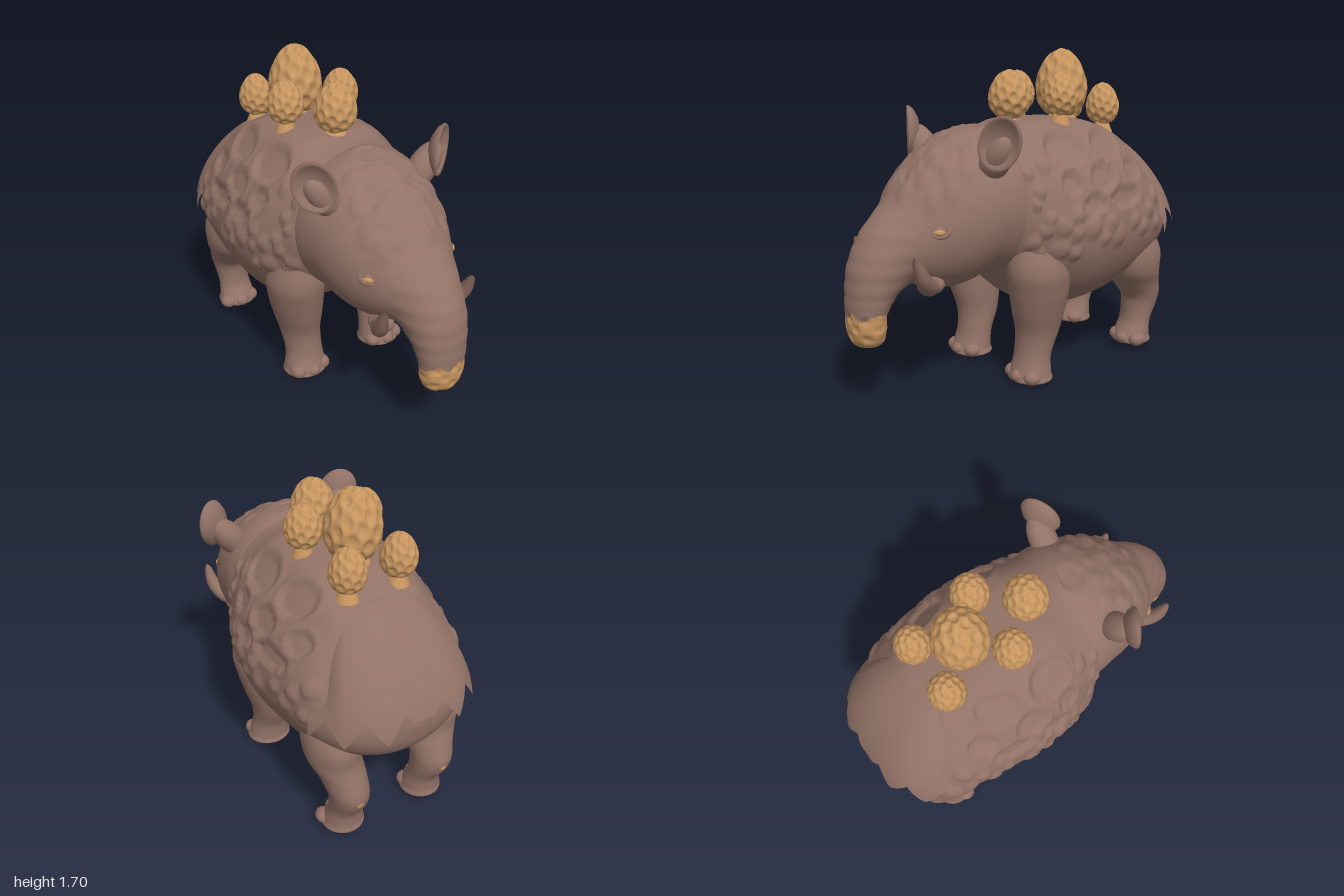
import * as THREE from 'three';
import { mergeVertices } from 'three/addons/utils/BufferGeometryUtils.js';

const hide = new THREE.MeshStandardMaterial({ color: 0x927266, side: THREE.DoubleSide });
hide.name = 'brown hide';
const amber = new THREE.MeshStandardMaterial({ color: 0xc8965f });
amber.name = 'amber';

const { smoothstep, clamp } = THREE.MathUtils;
const V = (x, y, z) => new THREE.Vector3(x, y, z);
const DOWN = Math.PI / 2;

let seed = 7;
const rand = () => (seed = (seed * 16807) % 2147483647) / 2147483647;

function add(parent, name, geometry, material, x = 0, y = 0, z = 0) {
  const mesh = new THREE.Mesh(geometry, material);
  mesh.name = name;
  mesh.position.set(x, y, z);
  parent.add(mesh);
  return mesh;
}

// Smooth skin through oval sections [x, y, z, half width, half depth, tilt].
// relief(p) pushes the skin outward; paint(p) picks the amber faces.
function loft(sections, rings, sides, relief = () => 0, paint = () => false) {
  const spline = k => new THREE.CatmullRomCurve3(sections.map(s => V(s[k], s[k + 1], s[k + 2])), false, 'catmullrom', 0.5);
  const path = spline(0), size = spline(3);
  const pos = [], brown = [], gold = [];
  for (let i = 0; i <= rings; i++) {
    const c = path.getPoint(i / rings), s = size.getPoint(i / rings);
    for (let j = 0; j < sides; j++) {
      const a = j / sides * Math.PI * 2, u = Math.cos(a), v = Math.sin(a);
      const rx = Math.max(s.x, 0.001), rv = Math.max(s.y, 0.001);
      const dir = V(u, v * Math.cos(s.z), v * Math.sin(s.z));
      const p = V(u * rx, v * rv * Math.cos(s.z), v * rv * Math.sin(s.z)).add(c);
      if (rx > 0.01) p.addScaledVector(dir, relief(p));
      pos.push(p.x, p.y, p.z);
    }
  }
  for (let i = 0; i < rings; i++) for (let j = 0; j < sides; j++) {
    const a = i * sides + j, b = i * sides + (j + 1) % sides;
    const list = paint(V(pos[a * 3], pos[a * 3 + 1], pos[a * 3 + 2])) ? gold : brown;
    list.push(a, b, a + sides, b, b + sides, a + sides);
  }
  const g = new THREE.BufferGeometry();
  g.setAttribute('position', new THREE.Float32BufferAttribute(pos, 3));
  g.setIndex([...brown, ...gold]);
  g.addGroup(0, brown.length, 0);
  g.addGroup(brown.length, gold.length, 1);
  g.computeVertexNormals();
  return g;
}

// Round pebbles scattered without overlap in a flat region
function scatter(count, a0, a1, b0, b1, r0, r1, list = []) {
  for (let k = 0; k < count; k++) {
    const a = a0 + rand() * (a1 - a0), b = b0 + rand() * (b1 - b0), r = r0 + rand() * (r1 - r0);
    if (list.every(o => Math.hypot(a - o[0], b - o[1]) > (r + o[2]) * 0.85)) list.push([a, b, r]);
  }
  return list;
}
const pebbleRelief = (list, a, b, h) => list.reduce((sum, o) => {
  const d = ((a - o[0]) ** 2 + (b - o[1]) ** 2) / (o[2] * o[2]);
  return d < 1 ? Math.max(sum, h * (1 - d * d)) : sum;
}, 0);
const craterRelief = (list, a, b) => list.reduce((sum, [ca, cb, ra, rb]) => {
  const d = Math.hypot((a - ca) / ra, (b - cb) / rb);
  return d > 1.4 ? sum : sum - 0.018 * (1 - smoothstep(d, 0.82, 1)) + 0.008 * Math.exp(-(((d - 1.03) / 0.13) ** 2));
}, 0);

// Tapering curved tube with a blunt tip
function taperTube(points, radius) {
  const path = new THREE.CatmullRomCurve3(points), seg = 28, n = 18;
  const g = new THREE.TubeGeometry(path, seg, radius, n), p = g.attributes.position;
  for (let k = 0; k < p.count; k++) {
    const t = Math.floor(k / (n + 1)) / seg;
    const v = V(0, 0, 0).fromBufferAttribute(p, k).lerp(path.getPointAt(t), 1 - Math.sqrt(1 - t ** 5) * (1 - 0.4 * t));
    p.setXYZ(k, v.x, v.y, v.z);
  }
  return g;
}

// Pitted egg: evenly spread dents over a sphere narrowed at the top
function eggGeometry(r, h) {
  let g = new THREE.IcosahedronGeometry(1, 13);
  g.deleteAttribute('uv');
  g.deleteAttribute('normal');
  g = mergeVertices(g, 1e-4);
  const dents = Array.from({ length: 56 }, (_, i) => {
    const y = 1 - (i + 0.5) / 28, q = Math.sqrt(1 - y * y), a = i * 2.39996;
    return V(q * Math.cos(a), y, q * Math.sin(a));
  });
  const p = g.attributes.position;
  for (let k = 0; k < p.count; k++) {
    const v = V(0, 0, 0).fromBufferAttribute(p, k);
    const d = Math.min(...dents.map(o => o.distanceTo(v)));
    v.multiplyScalar(1.02 - 0.1 * (1 - smoothstep(d, 0.13, 0.21)));
    const w = r * (1 - 0.16 * v.y);
    p.setXYZ(k, v.x * w, v.y * h, v.z * w);
  }
  g.computeVertexNormals();
  return g;
}

// Rear shell flap with a ragged hem
function capeGeometry() {
  const pos = [], index = [], cols = 120, rows = 28, e = 1.7, q = 2.8;
  for (let i = 0; i <= rows; i++) for (let j = 0; j <= cols; j++) {
    const s = j / cols * 2 - 1, a = s * 0.9;
    const tooth = Math.abs(((Math.abs(s) * 3 + 0.5) % 1) * 2 - 1);
    const hem = Math.max(0.01, 0.2 - 0.12 * Math.abs(s) + 0.2 * (tooth - 0.45) * smoothstep(Math.abs(s), 0, 0.25));
    const h = hem + (0.94 - hem) * i / rows;
    const r = (1 - h ** e) ** (1 / e) * (1 - 0.1 * smoothstep(Math.abs(s), 0.7, 1) * smoothstep(h, 0.1, 0.4));
    const R = r / ((Math.abs(Math.sin(a)) / 0.49) ** q + (Math.cos(a) / 0.67) ** q) ** (1 / q);
    pos.push(Math.sin(a) * R, 0.7 + 0.63 * h - 0.03 * smoothstep(h, 0.85, 0.94), -0.35 - Math.cos(a) * R);
  }
  for (let i = 0; i < rows; i++) for (let j = 0; j < cols; j++) {
    const a = i * (cols + 1) + j, b = a + cols + 1;
    index.push(a, b, a + 1, a + 1, b, b + 1);
  }
  const g = new THREE.BufferGeometry();
  g.setAttribute('position', new THREE.Float32BufferAttribute(pos, 3));
  g.setIndex(index);
  g.computeVertexNormals();
  return g;
}

export function createModel() {
  const model = new THREE.Group();
  model.name = 'shelledTapir';
  const skin = [hide, amber];

  // Shelled body: flattened back, large craters above, pebbles on shoulder, flank and hip
  const craters = [[-0.07, 1.21, 0.13, 0.075], [-0.37, 1.21, 0.12, 0.065], [-0.03, 1.06, 0.065, 0.055], [-0.25, 1.07, 0.1, 0.07],
    [-0.51, 1.08, 0.08, 0.055], [-0.15, 0.945, 0.09, 0.045], [-0.38, 0.955, 0.14, 0.05]];
  const pebbles = scatter(80, -0.02, 0.2, 0.64, 0.92, 0.035, 0.055);
  scatter(25, -0.68, -0.52, 0.76, 0.94, 0.035, 0.055, pebbles);
  scatter(30, -0.5, 0, 0.76, 0.86, 0.04, 0.06, pebbles);
  scatter(20, 0.1, 0.2, 0.92, 1.2, 0.025, 0.04, pebbles);
  const body = [[0, 0.74, -0.95, 0.001, 0.001, 0], [0, 0.74, -0.93, 0.17, 0.11, 0], [0, 0.75, -0.88, 0.29, 0.2, 0],
    [0, 0.77, -0.78, 0.385, 0.29, 0], [0, 0.81, -0.62, 0.455, 0.415, 0], [0, 0.825, -0.4, 0.49, 0.5, 0],
    [0, 0.83, -0.18, 0.505, 0.515, 0], [0, 0.86, 0, 0.48, 0.485, 0], [0, 0.9, 0.13, 0.43, 0.425, 0],
    [0, 0.93, 0.21, 0.395, 0.385, 0], [0, 0.93, 0.25, 0.36, 0.35, 0]];
  add(model, 'body', loft(body, 150, 132, p => {
    const x = Math.abs(p.x);
    const shape = 0.022 * Math.exp(-(((x - 0.2) / 0.11) ** 2)) * smoothstep(p.y, 1.08, 1.22) * smoothstep(0.2 - p.z, 0, 0.2)
      - 0.06 * clamp(p.y - 0.83, -0.12, 0.17) * smoothstep(x, 0.2, 0.35);
    return x < 0.12 ? shape : shape + craterRelief(craters, p.z, p.y) + pebbleRelief(pebbles, p.z, p.y, 0.016);
  }), skin);
  add(model, 'rearShellFlap', capeGeometry(), hide);

  // Head and drooping snout with an amber pitted tip
  const brow = scatter(90, -0.27, 0.27, 0.38, 0.72, 0.03, 0.05);
  const plates = [[0, 0.3, 0.08, 0.07], [0.14, 0.5, 0.06, 0.06], [-0.14, 0.5, 0.06, 0.06], [0, 0.64, 0.05, 0.045]];
  const head = [[0, 0.945, 0.17, 0.37, 0.37, 0], [0, 0.945, 0.24, 0.38, 0.385, 0], [0, 0.945, 0.33, 0.37, 0.38, 0],
    [0, 0.9, 0.45, 0.35, 0.36, 0.1], [0, 0.84, 0.57, 0.305, 0.31, 0.2], [0, 0.775, 0.68, 0.24, 0.235, 0.35],
    [0, 0.735, 0.78, 0.185, 0.18, 0.6], [0, 0.655, 0.85, 0.16, 0.143, 1], [0, 0.56, 0.89, 0.14, 0.11, 1.3],
    [0, 0.47, 0.91, 0.125, 0.09, 1.5], [0, 0.4, 0.91, 0.12, 0.087, DOWN], [0, 0.335, 0.907, 0.085, 0.068, DOWN],
    [0, 0.305, 0.905, 0.001, 0.001, DOWN]];
  const headRelief = p => {
    if (p.z > 0.78 && p.y < 0.5) return -0.008 * Math.max(0, Math.sin(p.x * 70 + 1.57) * Math.sin(p.y * 70));
    if (p.z > 0.75) return p.y > 0.55 ? 0.0015 * Math.sin(p.y * 75) : 0;
    return p.y < 0.93 ? 0 : craterRelief(plates, p.x, p.z) * 0.6 + pebbleRelief(brow, p.x, p.z, 0.012) * smoothstep(p.y, 0.93, 1);
  };
  add(model, 'headAndSnout', loft(head, 130, 96, headRelief,
    p => p.z > 0.78 && p.y < 0.485 + 0.015 * Math.sin(p.x * 60)), skin);

  const earProfile = [[0.001, -0.6], [0.5, -0.5], [0.85, -0.25], [1, 0], [0.97, 0.1], [0.86, 0.06], [0.7, -0.1], [0.4, -0.24], [0.001, -0.28]]
    .map(p => new THREE.Vector2(...p));
  const foreleg = [[0.275, 0.78, 0.08, 0.115, 0.14], [0.293, 0.62, 0.075, 0.15, 0.17],
    [0.285, 0.5, 0.06, 0.145, 0.165], [0.27, 0.38, 0.05, 0.13, 0.145], [0.255, 0.26, 0.045, 0.11, 0.118],
    [0.25, 0.14, 0.072, 0.103, 0.095], [0.255, 0.05, 0.09, 0.115, 0.105], [0.255, 0.012, 0.09, 0.115, 0.105], [0.255, 0.004, 0.09, 0.001, 0.001]];
  const hindleg = [[0.27, 0.76, -0.6, 0.11, 0.13], [0.29, 0.6, -0.64, 0.135, 0.18],
    [0.285, 0.48, -0.66, 0.135, 0.165], [0.265, 0.39, -0.71, 0.118, 0.145], [0.255, 0.31, -0.757, 0.105, 0.12],
    [0.248, 0.24, -0.757, 0.097, 0.105], [0.245, 0.15, -0.73, 0.093, 0.083], [0.245, 0.07, -0.705, 0.105, 0.1],
    [0.245, 0.03, -0.705, 0.105, 0.1], [0.245, 0.022, -0.705, 0.001, 0.001]];

  for (const s of [1, -1]) {
    const side = s > 0 ? 'left' : 'right';

    // Cupped ear on a thick stem
    const ear = add(model, side + 'Ear', new THREE.LatheGeometry(earProfile, 36).rotateX(DOWN).scale(0.105, 0.135, 0.1), hide, s * 0.38, 1.28, 0.395);
    ear.rotation.set(0, s * 0.55, -s * 0.35);
    const stem = add(model, side + 'EarStem', new THREE.SphereGeometry(1, 24, 16).scale(0.075, 0.15, 0.075), hide, s * 0.3, 1.19, 0.355);
    stem.rotation.z = -s * 0.7;

    // Eye with folded lids
    const eye = new THREE.Group();
    eye.name = side + 'Eye';
    eye.position.set(s * 0.25, 0.882, 0.648);
    eye.lookAt(s * 1.0, 1.1, 1.25);
    add(eye, 'eyeball', new THREE.SphereGeometry(0.034, 20, 14), hide, 0, 0, -0.016);
    add(eye, 'iris', new THREE.SphereGeometry(1, 16, 12).scale(0.027, 0.013, 0.006), amber, 0, -0.005, 0.016);
    add(eye, 'eyelids', new THREE.TorusGeometry(0.036, 0.013, 12, 28).scale(1.2, 0.9, 0.9), hide, 0, 0.004, -0.002);
    model.add(eye);

    // Upturned tusk and the lip around its root
    add(model, side + 'Tusk', taperTube([V(s * 0.14, 0.61, 0.62), V(s * 0.21, 0.615, 0.69), V(s * 0.255, 0.67, 0.75), V(s * 0.272, 0.787, 0.803)], 0.052), hide);
    add(model, side + 'Lip', new THREE.SphereGeometry(1, 20, 14).scale(0.06, 0.045, 0.07), hide, s * 0.17, 0.605, 0.65);

    // Legs with three toes each
    for (const [name, leg, z, y] of [['Foreleg', foreleg, 0.165, 0.042], ['Hindleg', hindleg, -0.635, 0.058]]) {
      add(model, side + name, loft(leg.map(([x, ...rest]) => [s * x, ...rest, DOWN]), 54, 32), skin);
      for (const t of [-1, 0, 1])
        add(model, side + name + 'Toe', new THREE.SphereGeometry(1, 18, 14).scale(0.045, 0.038, 0.05), hide, s * 0.255 + t * 0.075, y, z - Math.abs(t) * 0.025);
    }
    add(model, side + 'HeelSpot', new THREE.SphereGeometry(1, 14, 10).scale(0.02, 0.02, 0.006), amber, s * 0.252, 0.285, -0.871);
  }

  // Eggs on short flared stalks along the back: [x, y, z, radius, half height]
  const eggs = [[0, 1.515, -0.35, 0.138, 0.185], [0, 1.47, 0.02, 0.108, 0.128]];
  for (const s of [1, -1]) eggs.push([s * 0.17, 1.473, -0.18, 0.093, 0.112], [s * 0.14, 1.405, -0.53, 0.089, 0.113]);
  for (const [x, y, z, r, h] of eggs) {
    add(model, 'egg', eggGeometry(r, h), amber, x, y, z);
    const top = y - h * 0.8, base = z < -0.5 ? 1.25 : x ? 1.3 : 1.32;
    add(model, 'eggStalk', new THREE.CylinderGeometry(r * 0.35, r * 0.65, top - base, 20), amber, x, (top + base) / 2, z);
  }
  return model;
}
